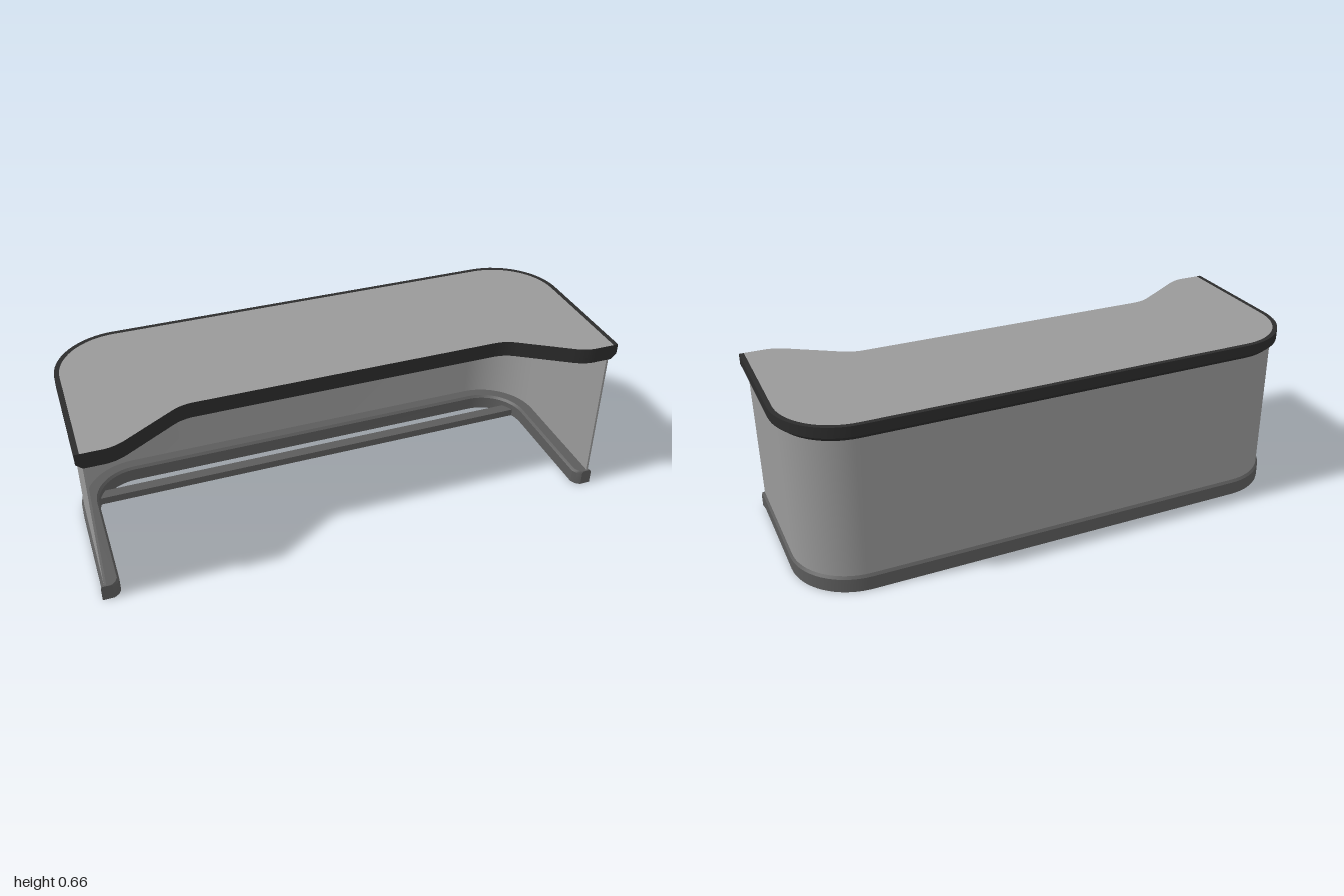
import * as THREE from 'three';
import { toCreasedNormals } from 'three/addons/utils/BufferGeometryUtils.js';

const HALF = 1, BACK = -0.36, RADIUS = 0.25, ARC = 16;

// U-shaped plan line, inset by d, from the left front end round the back to the right front end
function planLine(d, front, round = 0) {
  const half = [];
  for (const back of [0, 0.004, 0.012, 0.03]) {
    const t = 1 - back / 0.03;
    half.push([HALF - d * (1 - round * t * t), front - back]);
  }
  for (let i = 0; i <= ARC; i++) {
    const a = (i / ARC) * Math.PI / 2, r = RADIUS - d;
    half.push([HALF - RADIUS + r * Math.cos(a), BACK + RADIUS - r * Math.sin(a)]);
  }
  return [...half, ...half.map(([x, z]) => [-x, z]).reverse()];
}

function finish(positions, index) {
  const g = new THREE.BufferGeometry();
  g.setAttribute('position', new THREE.Float32BufferAttribute(positions, 3));
  g.setIndex(index);
  return toCreasedNormals(g.toNonIndexed(), 0.5);
}

// Joins rows of plan points ([points, y]) into a skin
function loft(rows, closePath, closeSection, index = []) {
  const n = rows[0][0].length, m = rows.length, positions = [];
  for (const [pts, y] of rows) for (const [x, z] of pts) positions.push(x, y, z);
  for (let j = 0; j < (closeSection ? m : m - 1); j++) {
    for (let i = 0; i < (closePath ? n : n - 1); i++) {
      const i2 = (i + 1) % n, j2 = (j + 1) % m;
      const a = j * n + i, b = j * n + i2, c = j2 * n + i2, d = j2 * n + i;
      index.push(a, b, c, a, c, d);
    }
  }
  return finish(positions, index);
}

// Sweeps a section of [inset, y] corners along the U and caps both ends
function sweep(section, front, round) {
  const rows = section.map(([d, y]) => [planLine(d, front, round), y]);
  const n = rows[0][0].length, caps = [];
  for (let j = 1; j < rows.length - 1; j++) {
    caps.push(0, j * n, (j + 1) * n);
    caps.push(n - 1, (j + 1) * n + n - 1, j * n + n - 1);
  }
  return loft(rows, false, true, caps);
}

// Flat face filling a plan outline
function flatFace(pts, y, up) {
  const faces = THREE.ShapeUtils.triangulateShape(pts.map(([x, z]) => new THREE.Vector2(x, -z)), []);
  const index = faces.flatMap(([a, b, c]) => (up ? [a, b, c] : [a, c, b]));
  return finish(pts.flatMap(([x, z]) => [x, y, z]), index);
}

// Front edge of the worktop, with a recess for the sitter
function frontEdge() {
  const path = new THREE.Path();
  path.moveTo(-0.91, 0.36);
  path.quadraticCurveTo(-0.87, 0.36, -0.83, 0.335);
  path.lineTo(-0.65, 0.222);
  path.quadraticCurveTo(-0.615, 0.2, -0.57, 0.2);
  const half = path.getPoints(8).map((p) => [p.x, p.y]);
  return [...half, ...half.map(([x, z]) => [-x, z]).reverse()];
}

export function createModel() {
  const model = new THREE.Group();
  const grey = new THREE.MeshStandardMaterial({ color: 0x999999 });
  grey.name = 'light grey';
  const rail = new THREE.MeshStandardMaterial({ color: 0x5c5c5c });
  rail.name = 'dark grey';
  const black = new THREE.MeshStandardMaterial({ color: 0x2c2c2c });
  black.name = 'black trim';

  const add = (name, geometry, material) => {
    const mesh = new THREE.Mesh(geometry, material);
    mesh.name = name;
    model.add(mesh);
    return mesh;
  };

  // Curved modesty panel
  add('curvedPanel', sweep([[0.022, 0.05], [0.022, 0.61], [0.03, 0.61], [0.03, 0.05]], 0.348, 0), grey);

  // Plinth rail under the panel, bevelled along its upper edges
  const plinth = [[0.014, 0], [0.014, 0.053], [0.022, 0.063], [0.072, 0.063], [0.08, 0.053], [0.08, 0]];
  add('baseRail', sweep(plinth, 0.354, 0.35), rail);

  // Cross bar joining the two sides at floor level
  const bar = add('crossBar', new THREE.BoxGeometry(1.84, 0.03, 0.045), rail);
  bar.position.set(0, 0.015, -0.193);

  // Worktop: black edge with a bevelled underside, grey surface
  const edge = frontEdge();
  const outline = (d) => [...planLine(d, 0.36), ...edge];
  const rows = [[0.022, 0.6], [0, 0.62], [0, 0.66], [0.018, 0.66]];
  add('worktopEdge', loft(rows.map(([d, y]) => [outline(d), y]), true, false), black);
  add('worktopUnderside', flatFace(outline(0.022), 0.6, false), black);
  add('worktopSurface', flatFace(outline(0.018), 0.66, true), grey);

  return model;
}
